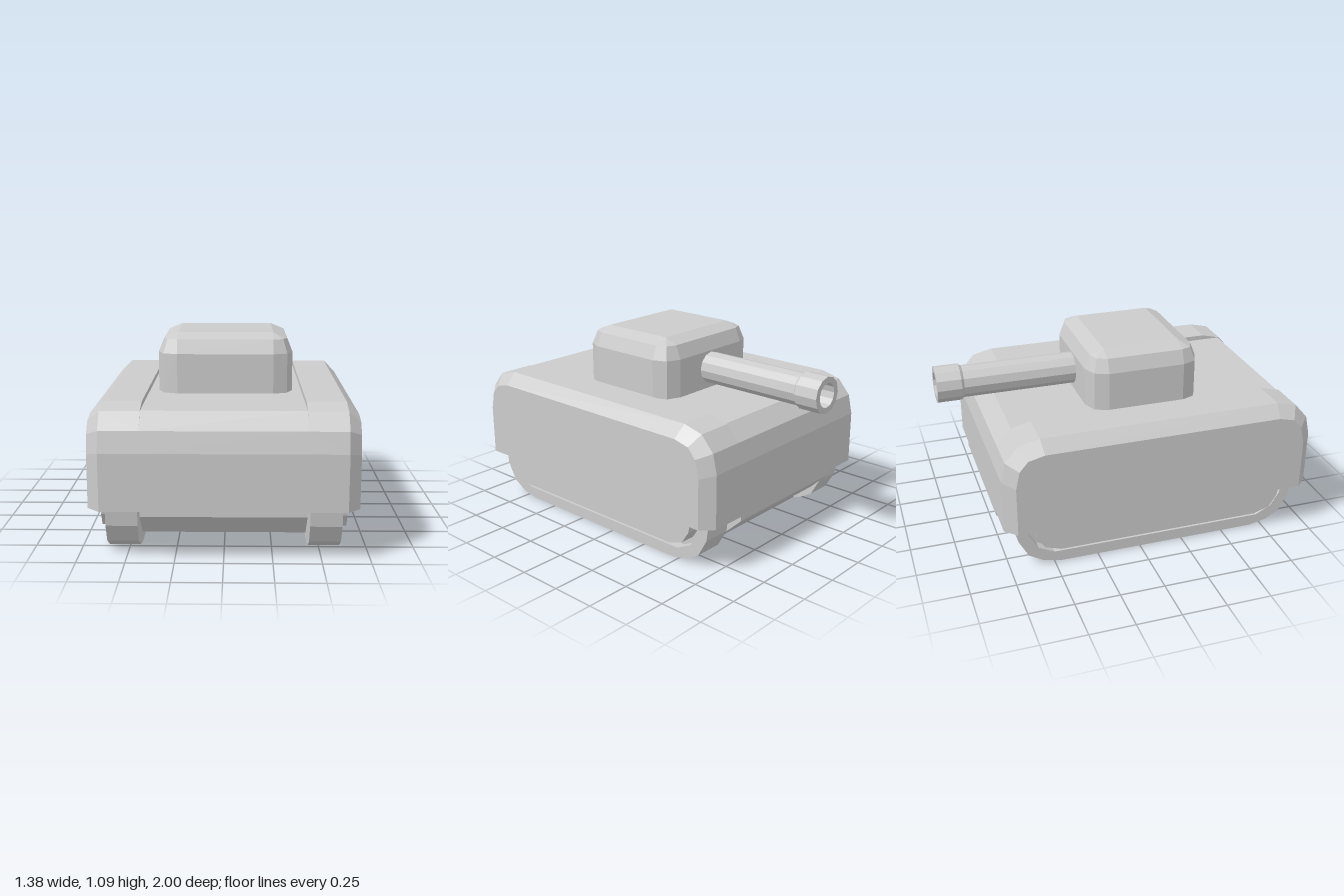
import * as THREE from 'three';

const material = new THREE.MeshStandardMaterial({ color: 0xcccccc, flatShading: true });
const MID = 0.11; // z of the hull's middle

// Half profiles: [distance from the hull's middle along z, y]
const SHELL = [[0.89, 0.27], [0.89, 0.57], [0.865, 0.68], [0.79, 0.765], [0.675, 0.793]];
const SHELL_SIDE = [[0.825, 0.27], [0.825, 0.55], [0.803, 0.65], [0.755, 0.705], [0.665, 0.727]];
const HULL = [[0.76, 0.122], [0.89, 0.245], [0.89, 0.57], [0.865, 0.68], [0.78, 0.765]];
const BELT = [[0.57, 0], [0.67, 0.02], [0.755, 0.07], [0.81, 0.17], [0.825, 0.28]];
const BELT_INNER = [[0.61, 0.065], [0.70, 0.11], [0.75, 0.19], [0.77, 0.28]];
const WHEELS = [[0.58, 0.1], [0.67, 0.13], [0.715, 0.2], [0.73, 0.28]];

// Mirror a half profile front to back: [z, y] points, counter-clockwise seen from +x
const outline = (half) => [
  ...half.map(([d, y]) => [MID - d, y]),
  ...[...half].reverse().map(([d, y]) => [MID + d, y]),
];

function addMesh(parent, name, geometry) {
  const mesh = new THREE.Mesh(geometry, material);
  mesh.name = name;
  parent.add(mesh);
  return mesh;
}

// Extrude a [z, y] outline from x0 to x1
function slab(points, x0, x1) {
  const shape = new THREE.Shape(points.map(([z, y]) => new THREE.Vector2(-z, y)));
  return new THREE.ExtrudeGeometry(shape, { depth: x1 - x0, bevelEnabled: false })
    .rotateY(Math.PI / 2)
    .translate(x0, 0, 0);
}

// Skin convex rings, each counter-clockwise seen from the last ring's end, and cap both ends
function loft(rings) {
  const n = rings[0].length;
  const positions = [];
  const tri = (a, b, c) => positions.push(...a, ...b, ...c);
  for (let i = 0; i < rings.length - 1; i++) {
    for (let j = 0; j < n; j++) {
      const k = (j + 1) % n;
      const [a, b, c, d] = [rings[i][j], rings[i][k], rings[i + 1][k], rings[i + 1][j]];
      tri(a, b, c);
      tri(a, c, d);
    }
  }
  const first = rings[0];
  const last = rings[rings.length - 1];
  for (let j = 1; j < n - 1; j++) {
    tri(first[0], first[j + 1], first[j]);
    tri(last[0], last[j], last[j + 1]);
  }
  const geometry = new THREE.BufferGeometry();
  geometry.setAttribute('position', new THREE.Float32BufferAttribute(positions, 3));
  geometry.computeVertexNormals();
  return geometry;
}

// Side armour: raised strip with a chamfered outer edge
function fender(side) {
  const sections = [[0.42, SHELL], [0.625, SHELL], [0.69, SHELL_SIDE]];
  const rings = sections.map(([x, half]) => outline(half).map(([z, y]) => [side * x, y, z]));
  return loft(side > 0 ? rings : rings.reverse());
}

// Box with two-step rounding on its vertical and top edges
function turretGeometry() {
  const r = 0.108;
  const cx = 0.37 - r;
  const cz = 0.325 - r;
  const ring = (y, radius) => {
    const points = [];
    for (let corner = 0; corner < 4; corner++) {
      const sx = corner === 0 || corner === 3 ? 1 : -1;
      const sz = corner < 2 ? -1 : 1;
      for (let step = 0; step < 3; step++) {
        const a = (corner + step / 2) * Math.PI / 2;
        points.push([sx * cx + radius * Math.cos(a), y, MID + sz * cz - radius * Math.sin(a)]);
      }
    }
    return points;
  };
  return loft([ring(0.75, r), ring(1.09 - r, r), ring(1.09 - r * 0.29, r * 0.71), ring(1.09, 0)]);
}

// Barrel and hollow muzzle, turned around one axis: [radius, length]
function gunGeometry() {
  const profile = [
    [0, 0], [0.09, 0], [0.09, 0.7], [0.102, 0.715], [0.102, 0.85],
    [0.068, 0.85], [0.068, 0.74], [0, 0.74],
  ].map(([r, l]) => new THREE.Vector2(r, l));
  return new THREE.LatheGeometry(profile, 12).rotateX(-Math.PI / 2);
}

export function createModel() {
  const model = new THREE.Group();
  model.name = 'tank';

  addMesh(model, 'hull', slab(outline(HULL), -0.42, 0.42));
  addMesh(model, 'turret', turretGeometry());
  addMesh(model, 'gunBarrel', gunGeometry()).position.set(0, 0.884, -0.15);

  const beltLoop = [...outline(BELT), ...outline(BELT_INNER).reverse()];
  // The belt outline is a U once its inner edge is walked back
  const belt = [...BELT].reverse().map(([d, y]) => [MID + d, y])
    .concat(BELT.map(([d, y]) => [MID - d, y]))
    .concat([...BELT_INNER].reverse().map(([d, y]) => [MID - d, y]))
    .concat(BELT_INNER.map(([d, y]) => [MID + d, y]));

  for (const [side, label] of [[1, 'left'], [-1, 'right']]) {
    const span = (a, b) => (side > 0 ? [a, b] : [-b, -a]);
    addMesh(model, `${label}Fender`, fender(side));

    const track = new THREE.Group();
    track.name = `${label}Track`;
    addMesh(track, 'belt', slab(belt, ...span(0.44, 0.605)));
    addMesh(track, 'trackWeb', slab(outline(BELT_INNER), ...span(0.44, 0.55)));
    addMesh(track, 'wheelCover', slab(outline(WHEELS), ...span(0.55, 0.64)));
    model.add(track);
  }
  return model;
}
